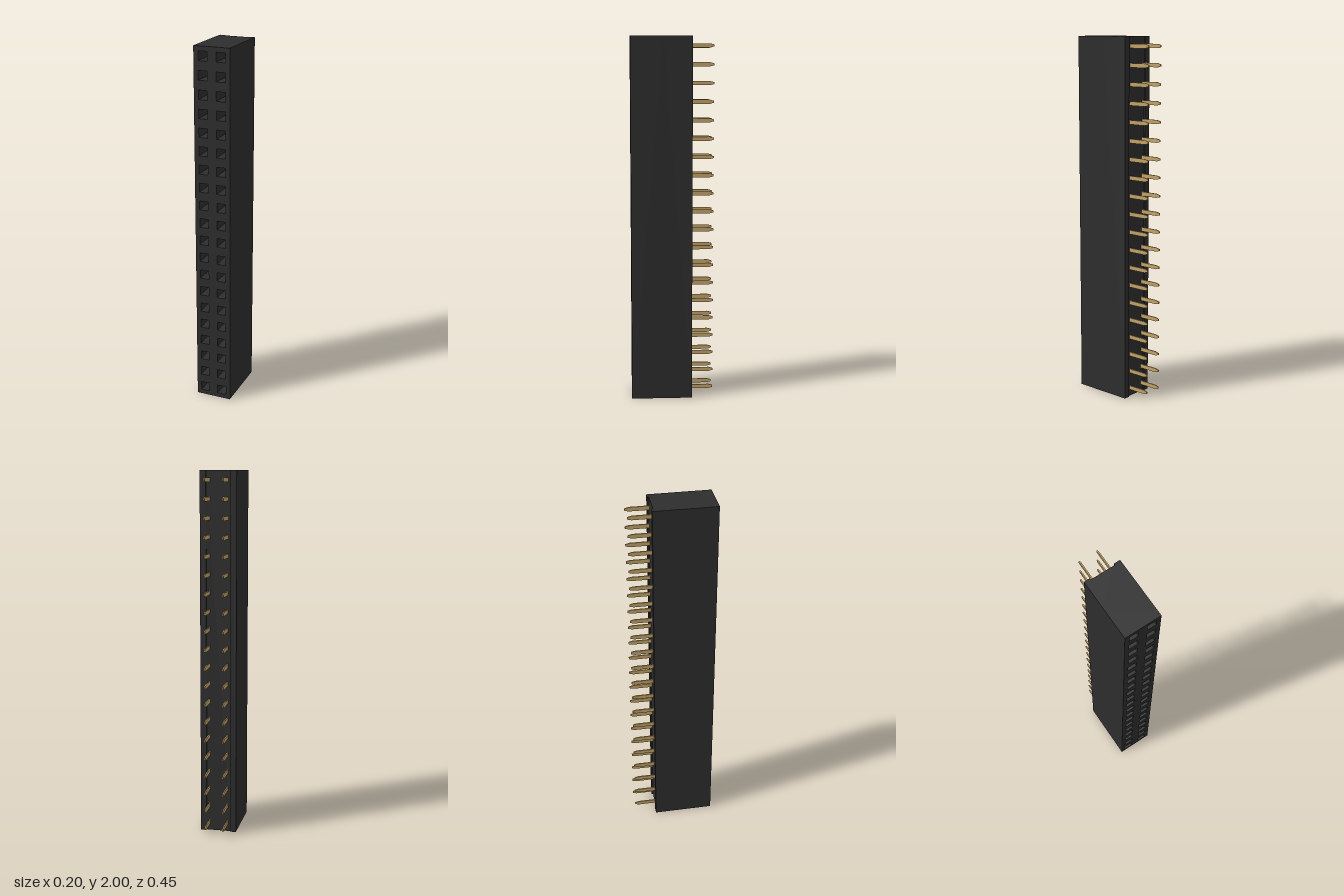
import * as THREE from 'three';

const ROWS = 20, PITCH = 0.1, HALF = 0.1, FRONT = 0.227, FLOOR = 0.05;

export function createModel() {
  const black = new THREE.MeshStandardMaterial({ color: 0x2d2d2e });
  black.name = 'black plastic';
  const dark = new THREE.MeshStandardMaterial({ color: 0x1b1a16 });
  dark.name = 'socket shadow black';
  const gold = new THREE.MeshStandardMaterial({ color: 0xc4a468 });
  gold.name = 'gold';

  const group = new THREE.Group();
  group.name = 'pinHeader';
  const add = (name, geometry, material, x = 0, y = 0, z = 0) => {
    const mesh = new THREE.Mesh(geometry, material);
    mesh.name = name;
    mesh.position.set(x, y, z);
    group.add(mesh);
  };
  const polygon = (pts) => new THREE.Shape(pts.map(([x, y]) => new THREE.Vector2(x, y)));
  const extrude = (shape, depth) =>
    new THREE.ExtrudeGeometry(shape, { depth, bevelEnabled: false });

  // Two columns of contact positions
  const cells = [];
  for (let i = 0; i < ROWS; i++) {
    for (const x of [-PITCH / 2, PITCH / 2]) cells.push([x, (i + 0.5) * PITCH]);
  }

  // Front housing, pierced by square sockets
  const face = polygon([[-HALF, 0], [HALF, 0], [HALF, 2], [-HALF, 2]]);
  const h = 0.025;
  for (const [x, y] of cells) {
    face.holes.push(polygon([[x - h, y - h], [x - h, y + h], [x + h, y + h], [x + h, y - h]]));
  }
  add('socketHousing', extrude(face, FRONT - FLOOR), black, 0, 0, FLOOR);

  // Rear housing, with a shallow channel between two side rails
  const rear = extrude(polygon([
    [-HALF, -FLOOR], [HALF, -FLOOR], [HALF, 0.108], [0.067, 0.108],
    [0.067, 0.1], [-0.067, 0.1], [-0.067, 0.108], [-HALF, 0.108],
  ]), 2).rotateX(-Math.PI / 2);
  add('rearHousing', rear, black);

  // Flat pins with tapered rear tips, reaching into the sockets
  const pin = extrude(polygon([
    [-0.227, -0.005], [-0.205, -0.011], [0.11, -0.011], [0.125, -0.008],
    [0.125, 0.008], [0.11, 0.011], [-0.205, 0.011], [-0.227, 0.005],
  ]), 0.007).translate(0, 0, -0.0035).rotateY(-Math.PI / 2);
  const floor = new THREE.BoxGeometry(0.05, 0.05, 0.004);
  for (const [x, y] of cells) {
    add('pin', pin, gold, x, y);
    add('socketFloor', floor, dark, x, y, FLOOR + 0.002);
  }
  return group;
}
